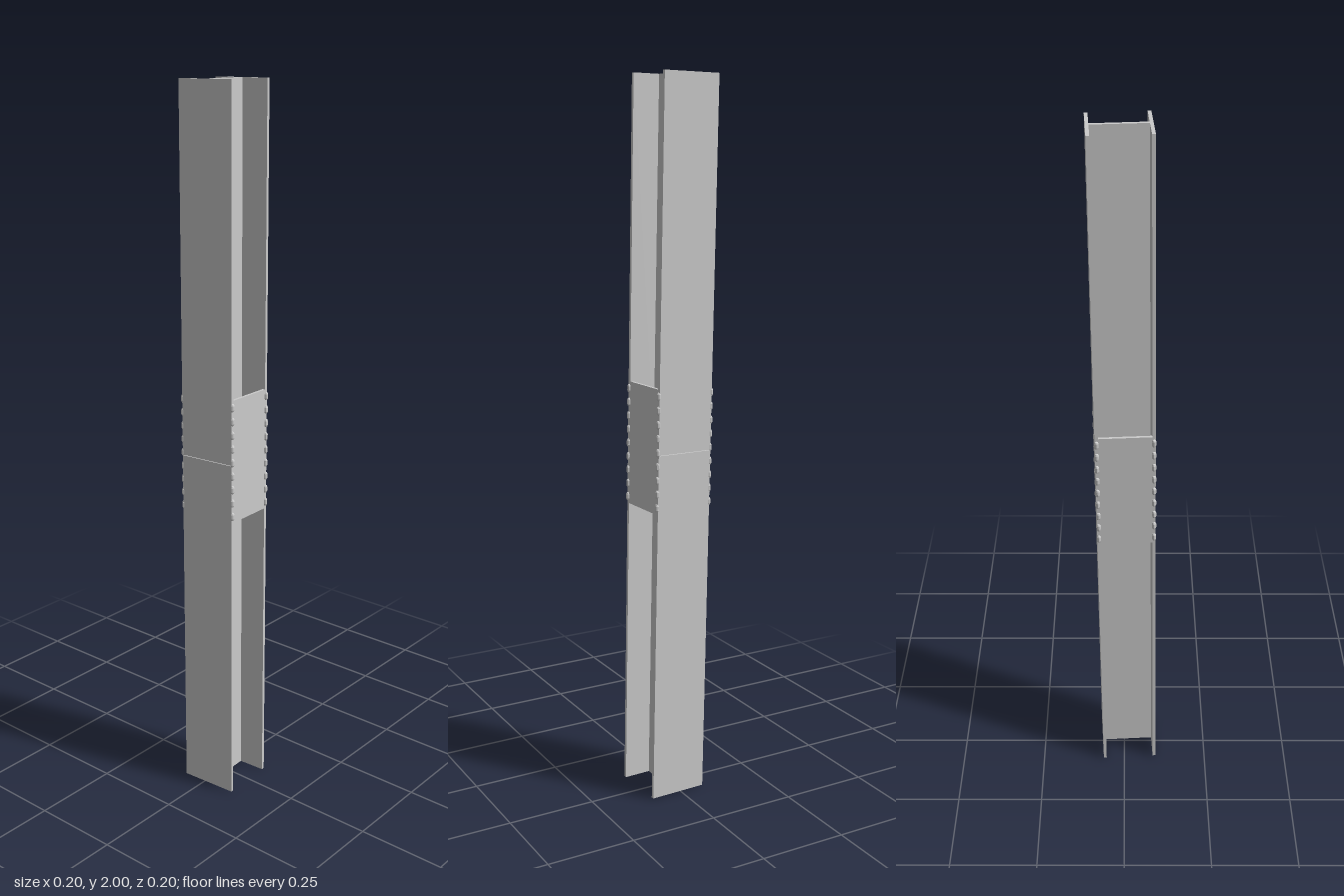
import * as THREE from 'three';

const WIDTH = 0.167, DEPTH = 0.162, FLANGE = 0.009, WEB = 0.01;
const LENGTH = 1.996, SEAM = 0.0015;
const PLATE_HEIGHT = 0.345, PLATE_Y = 0.0075, PLATE_THICK = 0.008;

// I-shaped cross-section: flanges at front and back, web between them
function beamProfile() {
  const w = WIDTH / 2, d = DEPTH / 2, i = d - FLANGE, t = WEB / 2;
  const corners = [
    [-w, -d], [w, -d], [w, -i], [t, -i], [t, i], [w, i],
    [w, d], [-w, d], [-w, i], [-t, i], [-t, -i], [-w, -i],
  ];
  return new THREE.Shape(corners.map(([x, y]) => new THREE.Vector2(x, y)));
}

export function createModel() {
  const model = new THREE.Group();
  model.name = 'splicedBeam';
  const steel = new THREE.MeshStandardMaterial({ color: 0xcccccc, flatShading: true });

  const add = (parent, name, geometry, x, y, z) => {
    const mesh = new THREE.Mesh(geometry, steel);
    mesh.name = name;
    mesh.position.set(x, y, z);
    parent.add(mesh);
  };

  // The whole column leans slightly
  const column = new THREE.Group();
  column.name = 'column';
  column.rotation.set(-0.0125, 0.05, 0.0125, 'XZY');
  column.position.y = 1;
  model.add(column);

  // Two beam lengths butted together with a hairline seam
  const half = (LENGTH - SEAM) / 2;
  const beam = new THREE.ExtrudeGeometry(beamProfile(), { depth: half, bevelEnabled: false });
  beam.rotateX(-Math.PI / 2);
  add(column, 'lowerBeam', beam, 0, -LENGTH / 2, 0);
  add(column, 'upperBeam', beam, 0, SEAM / 2, 0);

  // Splice plates closing both sides, stitched to the flanges with weld beads
  const plate = new THREE.BoxGeometry(PLATE_THICK, PLATE_HEIGHT, DEPTH - 2 * FLANGE);
  const bead = new THREE.CapsuleGeometry(0.006, 0.012, 2, 8);
  const beads = 9, pitch = PLATE_HEIGHT / beads;
  for (const sx of [-1, 1]) {
    const side = sx > 0 ? 'left' : 'right';
    add(column, side + 'SplicePlate', plate, sx * (WIDTH - PLATE_THICK) / 2, PLATE_Y, 0);
    for (const sz of [-1, 1]) {
      for (let i = 0; i < beads; i++) {
        const y = PLATE_Y + (i - (beads - 1) / 2) * pitch;
        add(column, side + 'WeldBead', bead, sx * WIDTH / 2, y, sz * (DEPTH / 2 - FLANGE / 2));
      }
    }
  }
  return model;
}
